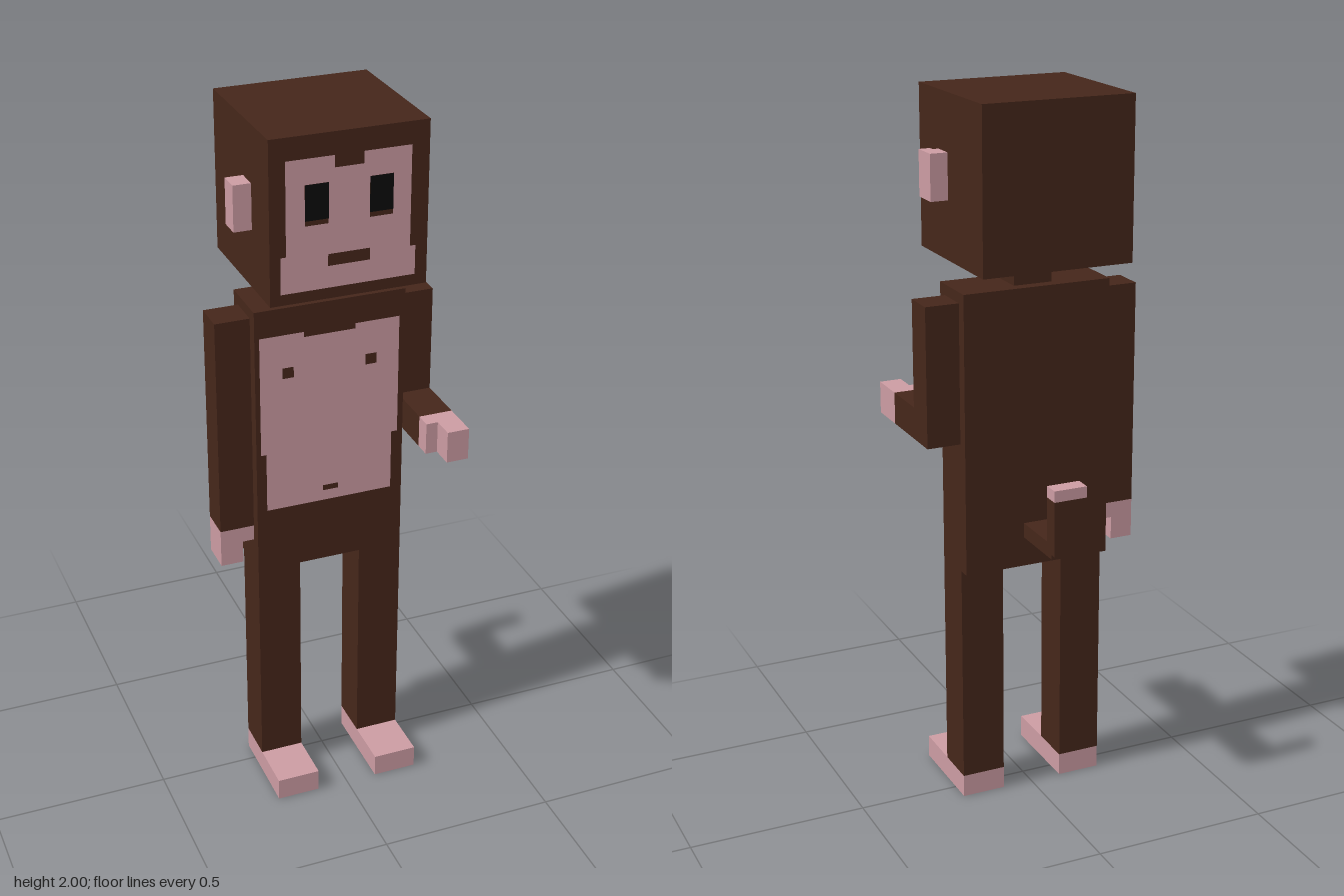
import * as THREE from 'three';

const material = (color) => new THREE.MeshStandardMaterial({ color, flatShading: true });

export function createModel() {
  const model = new THREE.Group();
  const fur = material(0x45261a);
  const skin = material(0xcb9ba2);
  const black = material(0x0a0a0a);

  // Box given by its extents along each axis
  function box(name, mat, [x0, x1], [y0, y1], [z0, z1]) {
    const mesh = new THREE.Mesh(new THREE.BoxGeometry(x1 - x0, y1 - y0, z1 - z0), mat);
    mesh.position.set((x0 + x1) / 2, (y0 + y1) / 2, (z0 + z1) / 2);
    mesh.name = name;
    model.add(mesh);
  }

  // Flat marking facing forward
  function patch(name, mat, points, z) {
    const shape = new THREE.Shape(points.map(([x, y]) => new THREE.Vector2(x, y)));
    const mesh = new THREE.Mesh(new THREE.ShapeGeometry(shape), mat);
    mesh.position.z = z;
    mesh.name = name;
    model.add(mesh);
  }
  const rect = (x0, x1, y0, y1) => [[x0, y0], [x1, y0], [x1, y1], [x0, y1]];

  // Head and neck
  const headFront = 0.19;
  box('head', fur, [-0.213, 0.213], [1.56, 2], [-0.222, headFront]);
  box('neck', fur, [-0.055, 0.055], [1.49, 1.56], [-0.063, 0.03]);

  // Face markings
  patch('face', skin, [
    [-0.185, 1.59], [0.18, 1.59], [0.18, 1.67], [0.165, 1.67], [0.165, 1.94], [0.037, 1.94],
    [0.037, 1.908], [-0.04, 1.908], [-0.04, 1.94], [-0.17, 1.94], [-0.17, 1.69], [-0.185, 1.69],
  ], headFront + 0.001);
  patch('mouth', fur, rect(-0.058, 0.055, 1.65, 1.682), headFront + 0.002);
  for (const x of [-0.12, 0.053]) {
    patch('eyeSocket', fur, rect(x, x + 0.063, 1.765, 1.873), headFront + 0.002);
    patch('eye', black, rect(x, x + 0.063, 1.778, 1.873), headFront + 0.003);
  }

  // Ears
  box('rightEar', skin, [-0.262, -0.213], [1.72, 1.845], [0.002, 0.062]);
  box('rightEarBack', fur, [-0.262, -0.213], [1.72, 1.845], [0, 0.002]);
  box('leftEar', skin, [0.213, 0.262], [1.72, 1.845], [0, 0.06]);
  box('leftEarInside', fur, [0.213, 0.23], [1.72, 1.845], [0.06, 0.062]);
  box('leftEarRim', skin, [0.23, 0.262], [1.72, 1.845], [0.06, 0.077]);

  // Torso and its markings
  const chestFront = 0.063;
  box('torso', fur, [-0.213, 0.213], [0.7, 1.49], [-0.095, chestFront]);
  patch('chest', skin, [
    [-0.185, 0.89], [0.18, 0.89], [0.18, 1.065], [0.197, 1.065], [0.197, 1.413], [0.07, 1.413],
    [0.07, 1.398], [-0.075, 1.398], [-0.075, 1.413], [-0.2, 1.413], [-0.2, 1.065], [-0.185, 1.065],
  ], chestFront + 0.001);
  for (const x of [-0.137, 0.1]) {
    patch('nipple', fur, rect(x, x + 0.032, 1.286, 1.317), chestFront + 0.002);
  }
  patch('navel', fur, rect(-0.022, 0.022, 0.921, 0.937), chestFront + 0.002);

  // Legs and feet
  for (const [side, x] of [['right', [-0.213, -0.09]], ['left', [0.088, 0.213]]]) {
    box(side + 'Leg', fur, x, [0.065, 0.7], [-0.06, 0.063]);
    box(side + 'Foot', skin, x, [0, 0.065], [-0.06, 0.205]);
  }

  // Right arm hanging straight down
  const armDepth = [-0.063, 0.03];
  box('rightArm', fur, [-0.31, -0.213], [0.83, 1.46], armDepth);
  box('rightPalm', skin, [-0.31, -0.213], [0.785, 0.83], armDepth);
  box('rightFingers', skin, [-0.31, -0.246], [0.72, 0.785], armDepth);

  // Left arm bent forward at the elbow
  box('leftUpperArm', fur, [0.213, 0.308], [1.07, 1.46], armDepth);
  box('leftForearm', fur, [0.213, 0.308], [1.07, 1.16], [0.03, 0.174]);
  box('leftPalm', skin, [0.213, 0.308], [1.07, 1.16], [0.174, 0.221]);
  box('leftFingers', skin, [0.246, 0.308], [1.07, 1.16], [0.221, 0.285]);

  // Tail turning upward to a bare tip
  const tailWidth = [-0.055, 0.04];
  box('tailBase', fur, tailWidth, [0.784, 0.826], [-0.27, -0.095]);
  box('tailUpright', fur, tailWidth, [0.797, 0.952], [-0.286, -0.24]);
  box('tailTip', skin, tailWidth, [0.952, 0.984], [-0.286, -0.24]);

  return model;
}
